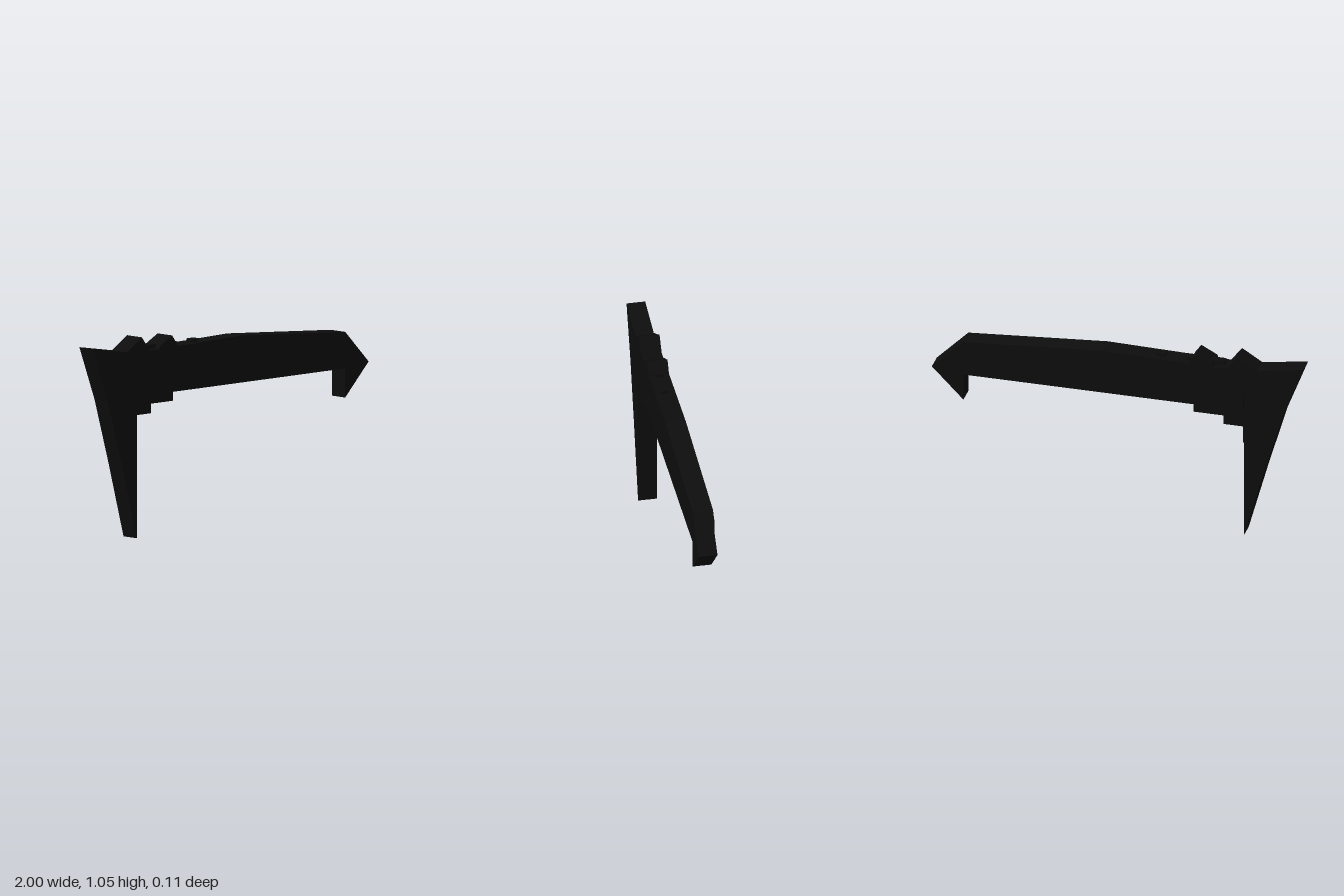
import * as THREE from 'three';

export function createModel() {
  const model = new THREE.Group();
  model.name = 'sidearm';
  const black = new THREE.MeshStandardMaterial({ color: 0x0d0d0d });
  black.name = 'matte black';

  // Side outline extruded between two depths
  function plate(name, outline, back, front) {
    const shape = outline instanceof THREE.Shape
      ? outline
      : new THREE.Shape(outline.map(([x, y]) => new THREE.Vector2(x, y)));
    const geometry = new THREE.ExtrudeGeometry(shape, {
      depth: front - back, bevelEnabled: false, curveSegments: 10,
    });
    geometry.translate(0, 0, back);
    const mesh = new THREE.Mesh(geometry, black);
    mesh.name = name;
    model.add(mesh);
    return mesh;
  }

  function block(name, x0, x1, y0, y1, back, front) {
    return plate(name, [[x0, y0], [x1, y0], [x1, y1], [x0, y1]], back, front);
  }

  // Tapered grip with its rear spur
  plate('grip', [
    [-0.68, 0], [-0.68, 0.96], [-0.76, 0.985], [-1, 1.025],
    [-0.89, 0.74], [-0.79, 0.4],
  ], -0.046, 0.053);

  // Long body, with a curved edge where it meets the grip
  const body = new THREE.Shape();
  body.moveTo(-0.68, 0.743);
  body.lineTo(0.83, 0.743);
  body.lineTo(0.88, 0.8);
  body.lineTo(0.88, 0.884);
  body.lineTo(0.83, 0.935);
  body.lineTo(0.08, 0.99);
  body.lineTo(-0.58, 0.976);
  body.lineTo(-0.76, 0.985);
  body.quadraticCurveTo(-0.66, 0.89, -0.68, 0.743);
  plate('body', body, -0.054, 0.053);

  // Arrow-shaped muzzle
  plate('muzzle', [[0.83, 0.59], [1, 0.763], [0.83, 0.935]], -0.046, 0.053);

  // Pointed ridges on top
  plate('rearRidge', [[-0.76, 0.98], [-0.58, 0.97], [-0.645, 1.052]], -0.054, 0.054);
  plate('frontRidge', [[-0.52, 0.97], [-0.38, 0.97], [-0.395, 1], [-0.425, 1.04], [-0.51, 0.995]], -0.054, 0.054);

  // Low rails on top
  block('rearRail', -0.57, -0.36, 0.96, 1, -0.02, 0.02);
  block('frontRail', -0.25, -0.2, 0.96, 1, -0.02, 0.02);

  // Stepped underside and the slim strip along the grip
  block('lowerStep', -0.69, -0.57, 0.645, 0.75, -0.046, 0.046);
  block('upperStep', -0.58, -0.41, 0.695, 0.75, -0.046, 0.046);
  block('gripStrip', -0.69, -0.672, 0.54, 0.66, -0.03, 0.03);

  // Fine seams on the back face
  block('longSeam', 0.03, 0.76, 0.867, 0.873, -0.056, -0.053);
  for (const x of [-0.1, -0.26, -0.45]) {
    plate('slantedSeam', [
      [x, 0.86], [x + 0.006, 0.86], [x - 0.034, 0.95], [x - 0.04, 0.95],
    ], -0.056, -0.053);
  }

  return model;
}
